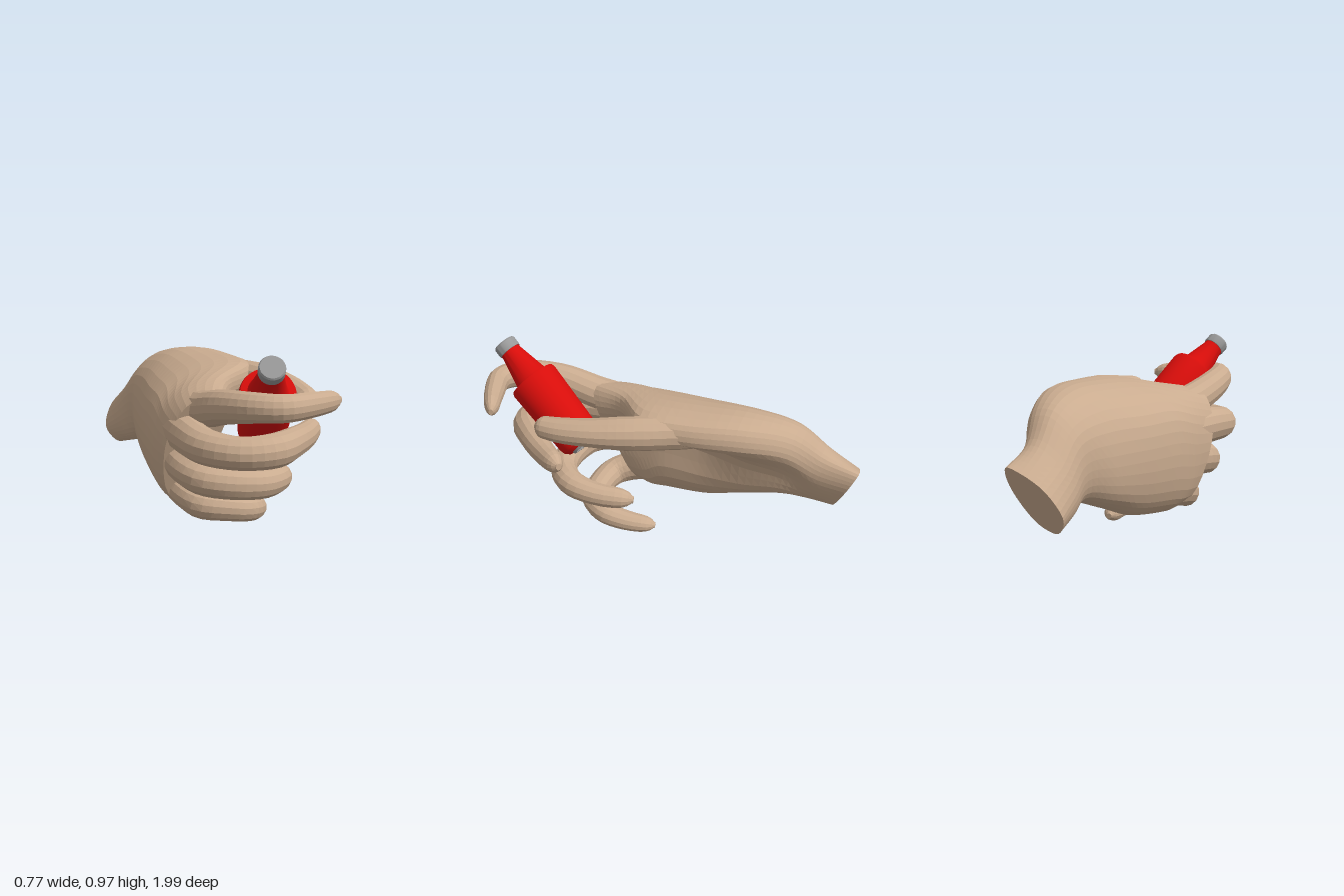
import * as THREE from 'three';
import { toCreasedNormals } from 'three/addons/utils/BufferGeometryUtils.js';

const skin = new THREE.MeshStandardMaterial({ color: 0xc9ab8f, flatShading: true });
const red = new THREE.MeshStandardMaterial({ color: 0xd80d0a });
const grey = new THREE.MeshStandardMaterial({ color: 0x999999 });
const V = (x, y, z) => new THREE.Vector3(x, y, z);

// Skin over a list of rings, closed at both ends
function loft(name, rings) {
  const n = rings[0].length, pos = [], idx = [];
  rings.forEach(r => r.forEach(p => pos.push(p.x, p.y, p.z)));
  for (let i = 0; i < rings.length - 1; i++)
    for (let j = 0; j < n; j++) {
      const a = i * n + j, b = i * n + (j + 1) % n;
      idx.push(a, a + n, b, b, a + n, b + n);
    }
  [0, rings.length - 1].forEach((i, end) => {
    const c = rings[i].reduce((s, p) => s.add(p), V(0, 0, 0)).divideScalar(n);
    const k = pos.length / 3;
    pos.push(c.x, c.y, c.z);
    for (let j = 0; j < n; j++) {
      const a = i * n + j, b = i * n + (j + 1) % n;
      end ? idx.push(k, b, a) : idx.push(k, a, b);
    }
  });
  const g = new THREE.BufferGeometry();
  g.setAttribute('position', new THREE.Float32BufferAttribute(pos, 3));
  g.setIndex(idx);
  g.computeVertexNormals();
  const mesh = new THREE.Mesh(g, skin);
  mesh.name = name;
  return mesh;
}

// Cross-section across the hand: x, y pairs from the little-finger edge over the
// back of the hand to the thumb and down the palm; k leans the section in z
function section(z, k, xy) {
  const pts = [];
  for (let i = 0; i < xy.length; i += 2) pts.push(V(xy[i], xy[i + 1], z + k * (xy[i + 1] - 0.45)));
  return new THREE.CatmullRomCurve3(pts, true).getPoints(36).slice(0, 36);
}

function palm() {
  const wrist = [
    section(-0.985, -0.48, [-.31, .175, -.36, .21, -.385, .27, -.33, .39, -.22, .465, -.14, .485, -.12, .42, -.15, .31, -.22, .21]),
    section(-0.80, -0.35, [-.26, .215, -.32, .25, -.35, .34, -.31, .475, -.2, .565, -.11, .555, -.08, .47, -.11, .36, -.18, .25]),
    section(-0.62, -0.2, [-.18, .255, -.27, .29, -.31, .42, -.28, .6, -.15, .715, -.02, .7, .03, .61, -.05, .46, -.1, .31]),
    section(-0.42, -0.1, [-.2, .2, -.3, .25, -.335, .42, -.28, .64, -.1, .78, .09, .765, .13, .66, -.03, .5, -.09, .28]),
  ];
  const knuckles = [
    section(-0.18, 0, [-.22, .125, -.32, .2, -.365, .42, -.31, .64, -.08, .785, .16, .775, .185, .67, -.06, .54, -.1, .25]),
    section(0.06, 0, [-.24, .1, -.34, .18, -.385, .42, -.33, .64, -.1, .77, .16, .775, .18, .67, -.06, .57, -.1, .25]),
    section(0.2, 0.2, [-.24, .1, -.34, .17, -.385, .4, -.35, .6, -.23, .72, -.05, .745, -.01, .67, -.09, .5, -.12, .2]),
    section(0.35, 0.4, [-.24, .12, -.33, .17, -.38, .4, -.35, .57, -.27, .68, -.15, .715, -.08, .63, -.11, .45, -.15, .2]),
  ];
  const all = [...wrist, ...knuckles], steps = 36;
  const lines = all[0].map((_, j) => new THREE.CatmullRomCurve3(all.map(r => r[j])));
  const rings = [];
  for (let i = 0; i <= steps; i++) rings.push(lines.map(l => l.getPoint(i / steps)));
  return loft('palmAndWrist', rings);
}

// Finger: oval tube with a blunt rounded tip; each point is x, y, z, half height, half width
function finger(name, pts) {
  const path = new THREE.CatmullRomCurve3(pts.map(p => V(p[0], p[1], p[2])));
  const size = new THREE.CatmullRomCurve3(pts.map(p => V(p[3], p[4], 0)));
  const rings = [], steps = 28, sides = 14, start = 0.93;
  for (let i = 0; i <= steps; i++) {
    // The last four rings close the tip
    const q = Math.max(0, (i - steps + 4) / 4);
    const t = q ? start + (1 - start) * Math.sin(q * Math.PI / 2) : start * i / (steps - 4);
    const tip = Math.max(0.35, Math.cos(q * Math.PI / 2));
    const c = path.getPoint(t), s = size.getPoint(t), T = path.getTangent(t);
    const B = V(0, 1, 0).cross(T).negate().normalize(), N = B.clone().cross(T);
    const ring = [];
    for (let j = 0; j < sides; j++) {
      const a = j / sides * Math.PI * 2;
      ring.push(c.clone().addScaledVector(N, -Math.cos(a) * s.x * tip).addScaledVector(B, Math.sin(a) * s.y * tip));
    }
    rings.push(ring);
  }
  return loft(name, rings);
}

function lathe(name, profile, material) {
  const g = new THREE.LatheGeometry(profile.map(p => new THREE.Vector2(p[0], p[1])), 40);
  const mesh = new THREE.Mesh(toCreasedNormals(g, 0.5), material);
  mesh.name = name;
  return mesh;
}

function bottle() {
  const g = new THREE.Group();
  g.name = 'bottle';
  g.add(
    lathe('bottleBody', [[0, 0], [.09, 0], [.112, .018], [.12, .05], [.134, .42], [.128, .438], [.096, .442],
      [.09, .452], [.056, .615], [.056, .63], [0, .63]], red),
    lathe('bottleCap', [[0, .628], [.06, .628], [.062, .634], [.062, .676], [.056, .684], [0, .684]], grey),
    lathe('bottleBase', [[0, -.004], [.02, -.004], [.03, -.001], [.05, -.001], [.058, -.012], [.068, -.012], [.076, .004]], grey)
  );
  // Lean the bottle from its base up to its cap
  const base = V(0.093, 0.495, 0.42), top = V(-0.052, 0.925, 0.925);
  g.position.copy(base);
  g.quaternion.setFromUnitVectors(V(0, 1, 0), top.sub(base).normalize());
  return g;
}

export function createModel() {
  const model = new THREE.Group();
  model.name = 'handHoldingBottle';
  const hand = new THREE.Group();
  hand.name = 'hand';
  hand.add(
    palm(),
    finger('thumb', [[.06, .695, -.34, .05, .05], [.12, .695, -.12, .085, .08], [.205, .695, .1, .088, .088],
      [.262, .69, .3, .073, .08], [.28, .68, .46, .066, .07], [.275, .675, .6, .056, .052]]),
    finger('indexFinger', [[-.2, .62, .2, .08, .09], [-.19, .645, .44, .088, .09], [-.175, .70, .66, .082, .08],
      [-.105, .732, .85, .072, .07], [0, .738, .933, .066, .06], [.15, .737, .897, .06, .052], [.325, .735, .825, .047, .034]]),
    finger('middleFinger', [[-.27, .51, .2, .1, .1], [-.285, .515, .45, .095, .09], [-.25, .505, .64, .085, .085],
      [-.13, .5, .765, .08, .08], [.02, .505, .78, .083, .08], [.15, .51, .69, .075, .07], [.27, .505, .555, .066, .06], [.37, .518, .435, .054, .045]]),
    finger('ringFinger', [[-.25, .37, .15, .1, .1], [-.285, .35, .36, .09, .088], [-.235, .32, .51, .083, .08],
      [-.1, .3, .573, .08, .075], [.05, .285, .565, .075, .072], [.165, .28, .47, .068, .07], [.183, .255, .32, .062, .062], [.135, .232, .125, .055, .052]]),
    finger('littleFinger', [[-.24, .21, .05, .09, .09], [-.25, .185, .24, .08, .08], [-.2, .15, .365, .078, .075],
      [-.08, .13, .407, .07, .07], [.03, .11, .4, .066, .068], [.1, .085, .31, .06, .064], [.1, .058, .18, .053, .057], [.065, .04, .03, .042, .046]])
  );
  model.add(hand, bottle());
  return model;
}
